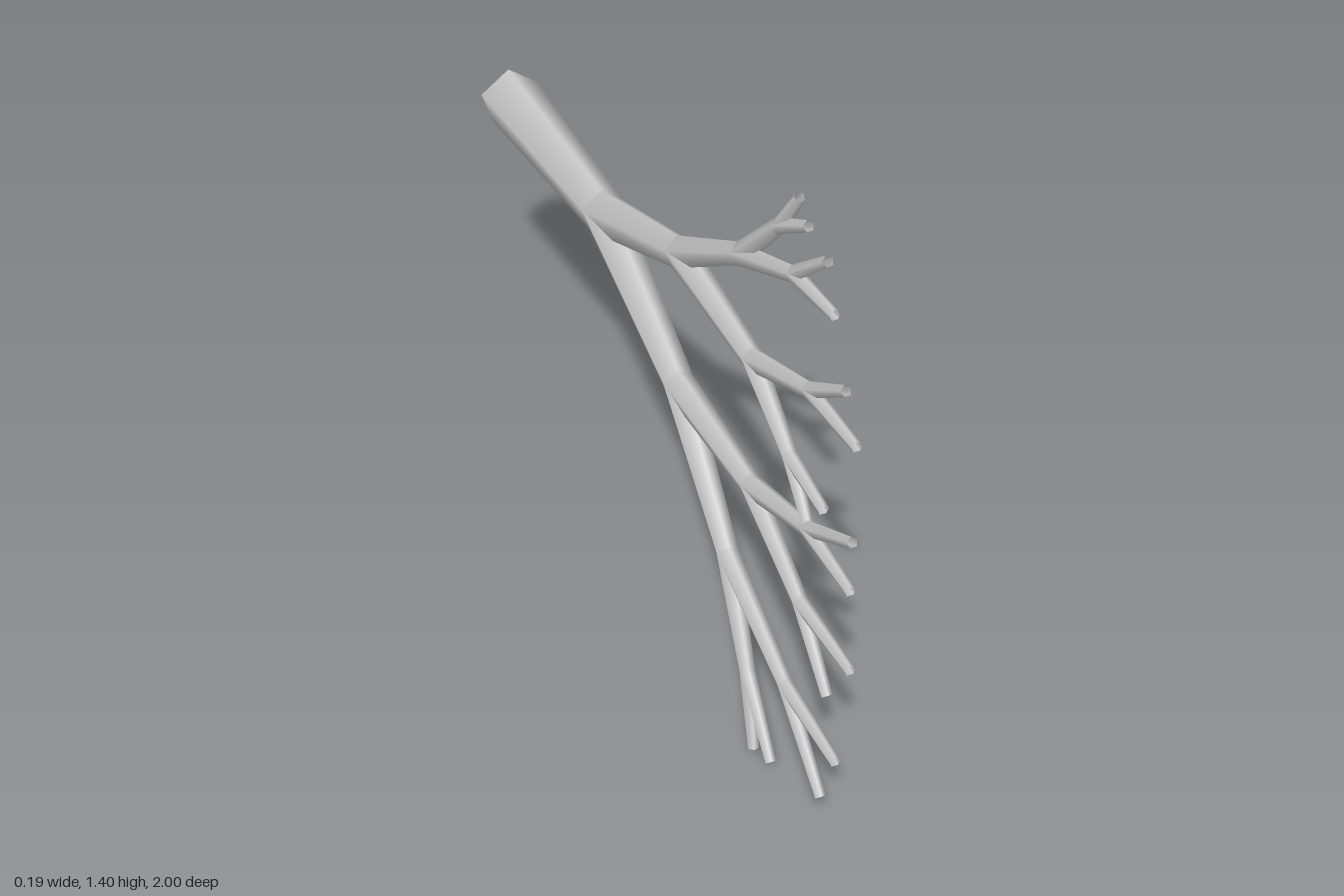
import * as THREE from 'three';

const SIDES = 5, BASE_RADIUS = 0.0815, TAPER = 0.7;

// Branching plan: each node is [z, y, ...child nodes]
const fork =
  [-0.4, 0.842,
    [0.01, 0.976,
      [0.283, 1.139,
        [0.422, 1.294, [0.487, 1.404], [0.54, 1.364]],
        [0.513, 1.23, [0.636, 1.337], [0.695, 1.241]]],
      [0.396, 0.936,
        [0.647, 1.021, [0.786, 1.112], [0.861, 1.021]],
        [0.61, 0.824, [0.781, 0.797], [0.738, 0.711]]]],
    [0.08, 0.658,
      [0.471, 0.642,
        [0.727, 0.711, [0.909, 0.807], [0.936, 0.695]],
        [0.749, 0.524, [0.989, 0.519], [0.92, 0.39]]],
      [0.417, 0.406,
        [0.749, 0.283, [1.0, 0.265], [0.968, 0.134]],
        [0.588, 0.182, [0.749, 0.043], [0.668, 0.016]]]]];

// All forks lie in one plane that leans slightly sideways
const place = (z, y) => new THREE.Vector3(0.013 + 0.121 * (y - 0.84), y, z);

const NAMES = ['trunk', 'mainBranch', 'branch', 'smallBranch', 'twig'];

export function createModel() {
  const group = new THREE.Group();
  const material = new THREE.MeshStandardMaterial({ color: 0xcccccc, side: THREE.DoubleSide });

  // Open tapered tube from a to b, one corner of its cross-section facing up
  function limb(a, b, r0, r1, name) {
    const dir = b.clone().sub(a);
    const length = dir.length();
    dir.normalize();
    const up = new THREE.Vector3(0, 1, 0).addScaledVector(dir, -dir.y).normalize();
    const side = new THREE.Vector3().crossVectors(dir, up);
    const mesh = new THREE.Mesh(new THREE.CylinderGeometry(r1, r0, length, SIDES, 1, true), material);
    mesh.quaternion.setFromRotationMatrix(new THREE.Matrix4().makeBasis(side, dir, up));
    mesh.position.copy(a).lerp(b, 0.5);
    mesh.name = name;
    group.add(mesh);
  }

  // Each generation starts at the thickness its parent ended with
  function grow(from, [z, y, ...children], radius, level) {
    const to = place(z, y);
    limb(from, to, radius, radius * TAPER, NAMES[level]);
    children.forEach(child => grow(to, child, radius * TAPER, level + 1));
  }

  grow(place(-1, 0.834), fork, BASE_RADIUS, 0);
  group.name = 'branchingTree';
  return group;
}
